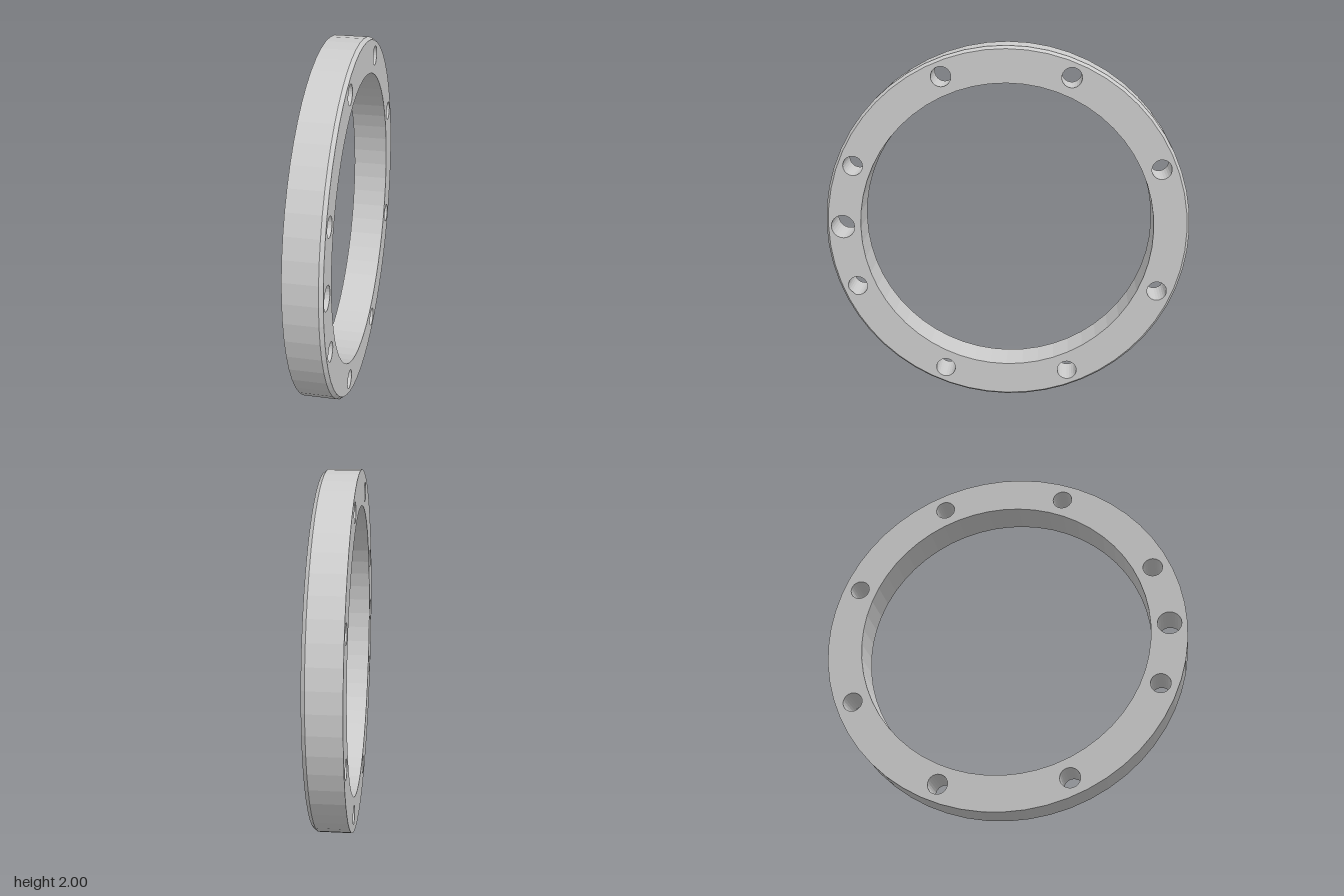
import * as THREE from 'three';

const OUTER = 1, INNER = 0.805, BOLT_CIRCLE = 0.905;
const WIDTH = 0.2, CHAMFER_WIDTH = 0.02, CHAMFER_DEPTH = 0.015;

// Points of a regular polygon standing in for a circle
function circle(cx, cy, r, sides) {
  return Array.from({ length: sides }, (_, i) => {
    const a = (i / sides) * Math.PI * 2;
    return new THREE.Vector2(cx + r * Math.cos(a), cy + r * Math.sin(a));
  });
}

export function createModel() {
  const group = new THREE.Group();
  group.name = 'flangeRing';

  // Ring face with its bore
  const shape = new THREE.Shape(circle(0, 0, OUTER, 56));
  const addHole = (x, y, r, sides) => shape.holes.push(new THREE.Path(circle(x, y, r, sides)));
  addHole(0, 0, INNER, 56);

  // Eight evenly spaced bolt holes
  for (let i = 0; i < 8; i++) {
    const a = ((i + 0.5) * Math.PI) / 4;
    addHole(BOLT_CIRCLE * Math.cos(a), BOLT_CIRCLE * Math.sin(a), 0.054, 24);
  }
  // Larger locating hole at the front
  addHole(-BOLT_CIRCLE, 0, 0.065, 24);

  const geometry = new THREE.ExtrudeGeometry(shape, { depth: WIDTH, steps: 2, bevelEnabled: false });

  // Chamfer one outer rim: slide the middle layer up and draw the end rim in
  const pos = geometry.attributes.position;
  for (let i = 0; i < pos.count; i++) {
    const x = pos.getX(i), y = pos.getY(i), z = pos.getZ(i);
    if (Math.abs(z - WIDTH / 2) < 1e-4) pos.setZ(i, WIDTH - CHAMFER_WIDTH);
    if (z > WIDTH - 1e-4 && Math.hypot(x, y) > 0.99) {
      const s = (OUTER - CHAMFER_DEPTH) / OUTER;
      pos.setXY(i, x * s, y * s);
    }
  }
  geometry.computeVertexNormals();

  // Stand the ring up with its axis along x, chamfer facing +x
  geometry.translate(0, 0, -WIDTH / 2);
  geometry.rotateY(Math.PI / 2);
  geometry.translate(0, OUTER, 0);

  const ring = new THREE.Mesh(geometry, new THREE.MeshStandardMaterial({ color: 0xcccccc, flatShading: true }));
  ring.name = 'ring';
  group.add(ring);
  return group;
}
